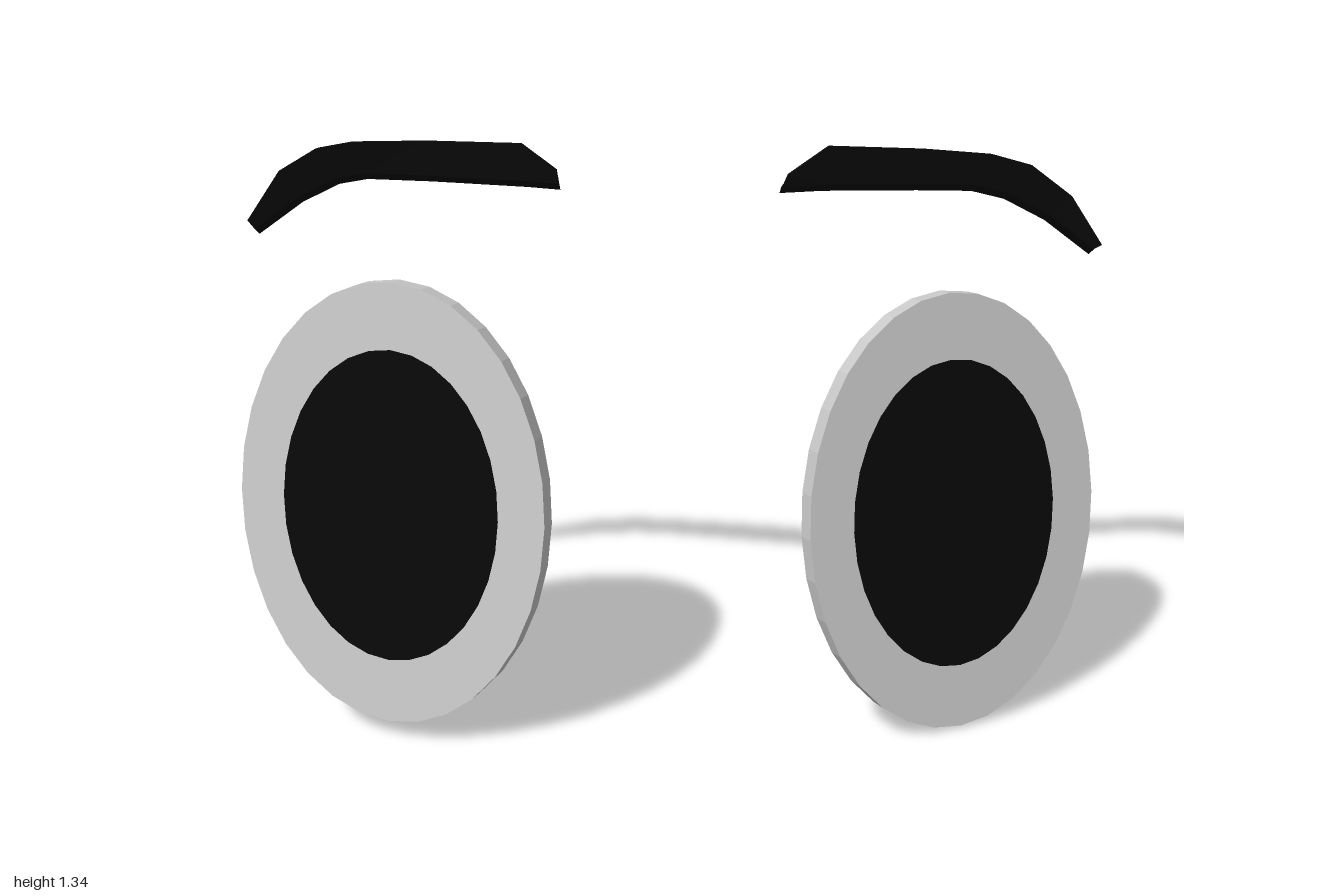
import * as THREE from 'three';

const grey = new THREE.MeshStandardMaterial({ color: 0xcccccc, flatShading: true });
const black = new THREE.MeshStandardMaterial({ color: 0x080808, flatShading: true });

// Elliptical disc: front-face centre c, half-axis vectors u (sideways) and v (up), thickness t behind it
function disc(name, c, u, v, scale, t, lift, material) {
  const n = new THREE.Vector3().crossVectors(u, v).normalize();
  const centre = c.clone().addScaledVector(n, lift - t / 2);
  const m = new THREE.Matrix4().makeBasis(
    u.clone().multiplyScalar(scale), n.clone().multiplyScalar(t), v.clone().multiplyScalar(-scale));
  m.setPosition(centre);
  const mesh = new THREE.Mesh(new THREE.CylinderGeometry(1, 1, 1, 32).applyMatrix4(m), material);
  mesh.name = name;
  return mesh;
}

function eye(name, c, u, v) {
  const g = new THREE.Group();
  g.name = name;
  g.add(disc('eyeWhite', c, u, v, 1, 0.045, 0, grey));
  g.add(disc('pupil', c, u, v, 0.705, 0.006, 0.003, black));
  return g;
}

// Brow: four-cornered sections swept outward; each station is [bottom x, bottom y, top x, top y, front z]
function brow(name, stations, depth) {
  const pos = [], idx = [], last = stations.length - 1;
  for (const [bx, by, tx, ty, z] of stations) {
    pos.push(bx, by + 0.025, z, bx, by, z - depth, tx, ty - 0.008, z - depth, tx, ty, z);
  }
  const flip = stations[last][0] < 0;
  const quad = (a, b, c, d) => flip ? idx.push(a, c, b, a, d, c) : idx.push(a, b, c, a, c, d);
  for (let s = 0; s < last; s++) {
    for (let k = 0; k < 4; k++) {
      const a = s * 4 + k, b = s * 4 + (k + 1) % 4;
      quad(a, b, b + 4, a + 4);
    }
  }
  // end caps
  quad(3, 2, 1, 0);
  quad(last * 4, last * 4 + 1, last * 4 + 2, last * 4 + 3);
  const geo = new THREE.BufferGeometry();
  geo.setAttribute('position', new THREE.Float32BufferAttribute(pos, 3));
  geo.setIndex(idx);
  const flat = geo.toNonIndexed();
  flat.computeVertexNormals();
  const mat = black.clone();
  mat.side = THREE.DoubleSide;
  const mesh = new THREE.Mesh(flat, mat);
  mesh.name = name;
  return mesh;
}

export function createModel() {
  const V = (x, y, z) => new THREE.Vector3(x, y, z);
  const model = new THREE.Group();
  model.name = 'eyesAndBrows';

  // Eyes, turned outward and leaning back
  model.add(eye('leftEye', V(0.641, 0.517, 0.097), V(0.344, 0, -0.137), V(-0.03, 0.508, -0.073)));
  model.add(eye('rightEye', V(-0.645, 0.56, 0.133), V(0.355, 0, 0.12), V(0.022, 0.508, -0.068)));

  // Eyebrows, arched and drooping at the outer ends
  model.add(brow('leftBrow', [
    [0.24, 1.213, 0.258, 1.265, -0.095],
    [0.34, 1.213, 0.35, 1.325, -0.115],
    [0.56, 1.205, 0.57, 1.31, -0.15],
    [0.69, 1.197, 0.73, 1.292, -0.175],
    [0.77, 1.175, 0.82, 1.265, -0.187],
    [0.87, 1.122, 0.92, 1.19, -0.195],
    [0.98, 1.04, 0.998, 1.075, -0.19],
  ], 0.046));
  model.add(brow('rightBrow', [
    [-0.255, 1.23, -0.262, 1.285, -0.06],
    [-0.33, 1.232, -0.34, 1.34, -0.08],
    [-0.55, 1.235, -0.56, 1.337, -0.125],
    [-0.7, 1.233, -0.73, 1.328, -0.16],
    [-0.77, 1.217, -0.81, 1.31, -0.18],
    [-0.86, 1.17, -0.9, 1.255, -0.2],
    [-0.97, 1.09, -0.985, 1.135, -0.217],
  ], 0.05));
  return model;
}
